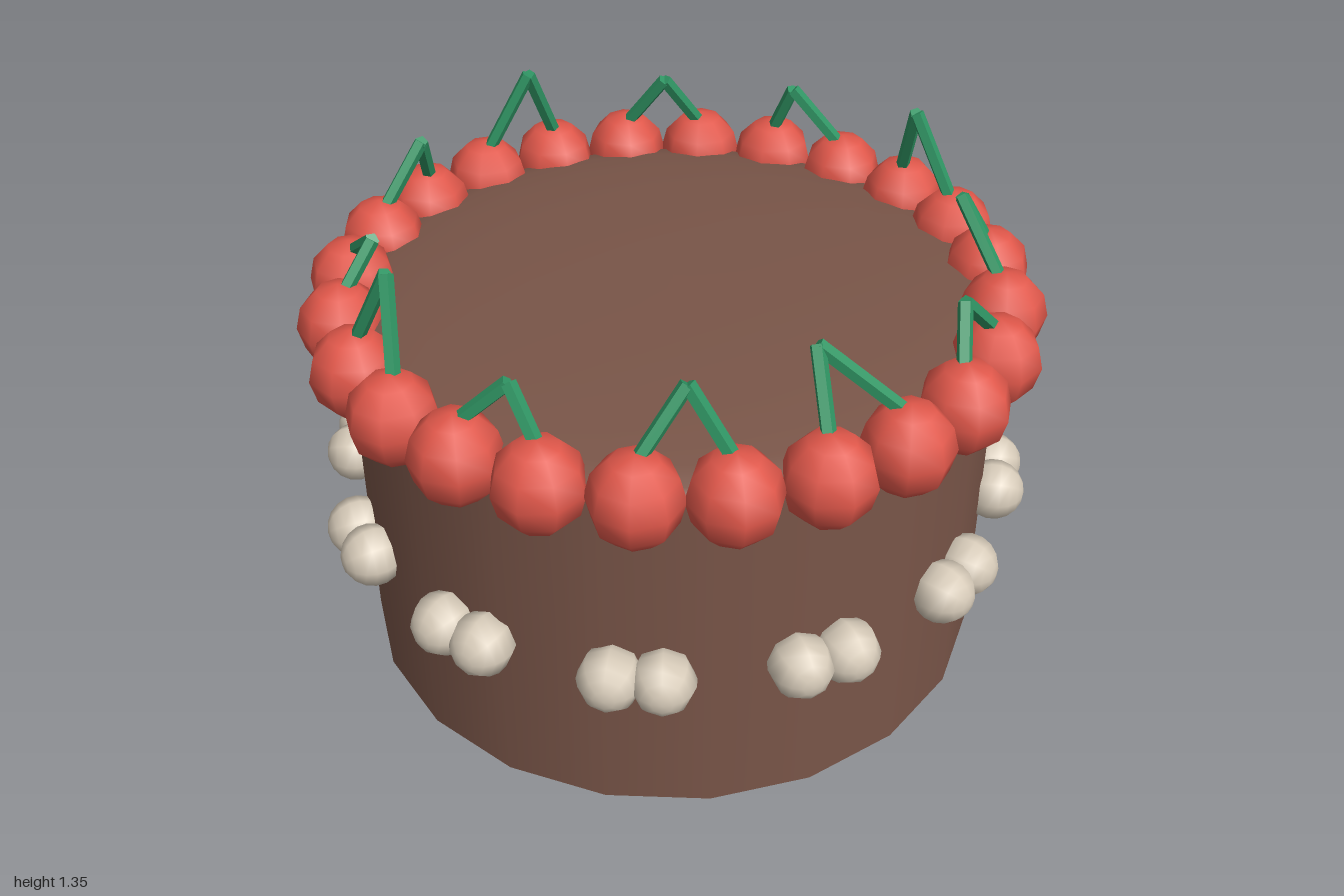
import * as THREE from 'three';

const brown = new THREE.MeshStandardMaterial({ name: 'chocolate', color: 0x795548, side: THREE.DoubleSide });
const red = new THREE.MeshStandardMaterial({ name: 'cherryRed', color: 0xe0574a });
const green = new THREE.MeshStandardMaterial({ name: 'stemGreen', color: 0x2f9463, flatShading: true });
const cream = new THREE.MeshStandardMaterial({ name: 'cream', color: 0xd8ccba, side: THREE.DoubleSide });

const RADIUS = 0.88;
const rad = THREE.MathUtils.degToRad;

// Point on a ring; 0 degrees is the front, 90 is the model's left
function onRing(r, deg, y) {
  return new THREE.Vector3(r * Math.sin(rad(deg)), y, r * Math.cos(rad(deg)));
}

function add(parent, name, geometry, material) {
  const mesh = new THREE.Mesh(geometry, material);
  mesh.name = name;
  parent.add(mesh);
  return mesh;
}

function group(parent, name) {
  const g = new THREE.Group();
  g.name = name;
  parent.add(g);
  return g;
}

// Straight rod from a to b
function rod(parent, name, a, b, r) {
  const dir = b.clone().sub(a);
  const mesh = add(parent, name, new THREE.CylinderGeometry(r, r, dir.length(), 5), green);
  mesh.position.copy(a).add(b).multiplyScalar(0.5);
  mesh.quaternion.setFromUnitVectors(new THREE.Vector3(0, 1, 0), dir.normalize());
  return mesh;
}

export function createModel() {
  const cake = new THREE.Group();
  cake.name = 'cake';

  // Side wall, open underneath
  add(cake, 'cakeSide', new THREE.CylinderGeometry(RADIUS, RADIUS, 1, 20, 1, true), brown).position.y = 0.5;

  // Gently domed top
  const dome = [];
  for (let i = 0; i <= 7; i++) {
    const a = (i / 7) * Math.PI / 2;
    dome.push(new THREE.Vector2(i === 7 ? 0 : RADIUS * Math.cos(a), 1 + 0.075 * Math.sin(a)));
  }
  add(cake, 'cakeTop', new THREE.LatheGeometry(dome, 20), brown);

  // Ring of 24 cherries
  const cherries = group(cake, 'cherries');
  const cherryGeo = new THREE.SphereGeometry(0.125, 8, 6).scale(0.96, 1, 0.96);
  for (let i = 0; i < 24; i++) {
    const cherry = add(cherries, 'cherry', cherryGeo, red);
    cherry.position.copy(onRing(RADIUS, i * 15, 1.007));
    cherry.rotation.y = rad(i * 15);
  }

  // Each neighbouring pair of cherries shares a bent stem; peaks go round from the front
  const peaks = [
    [0.04, 1.27, 0.72], [0.49, 1.23, 0.65], [0.75, 1.25, 0.22], [0.8, 1.34, -0.11],
    [0.64, 1.26, -0.54], [0.31, 1.27, -0.74], [-0.1, 1.34, -0.8], [-0.48, 1.27, -0.65],
    [-0.74, 1.22, -0.26], [-0.8, 1.33, 0.1], [-0.64, 1.22, 0.5], [-0.3, 1.27, 0.74],
  ];
  const stems = group(cake, 'stems');
  peaks.forEach((p, i) => {
    const peak = new THREE.Vector3(...p);
    for (const deg of [i * 30, i * 30 + 15]) {
      rod(stems, 'stem', onRing(RADIUS - 0.01, deg, 1.1), peak, 0.02);
    }
  });

  // Twelve pairs of cream dollops around the side, open where they meet the wall
  const dollops = group(cake, 'creamDollops');
  const dollopGeo = new THREE.SphereGeometry(0.085, 8, 6, 0, Math.PI * 2, 0, rad(118)).rotateX(Math.PI / 2);
  for (let i = 0; i < 12; i++) {
    for (const side of [-1, 1]) {
      const deg = i * 30 + side * 4.1;
      const dollop = add(dollops, 'creamDollop', dollopGeo, cream);
      dollop.position.copy(onRing(0.914, deg, 0.465));
      dollop.rotation.y = rad(deg);
    }
  }

  return cake;
}
